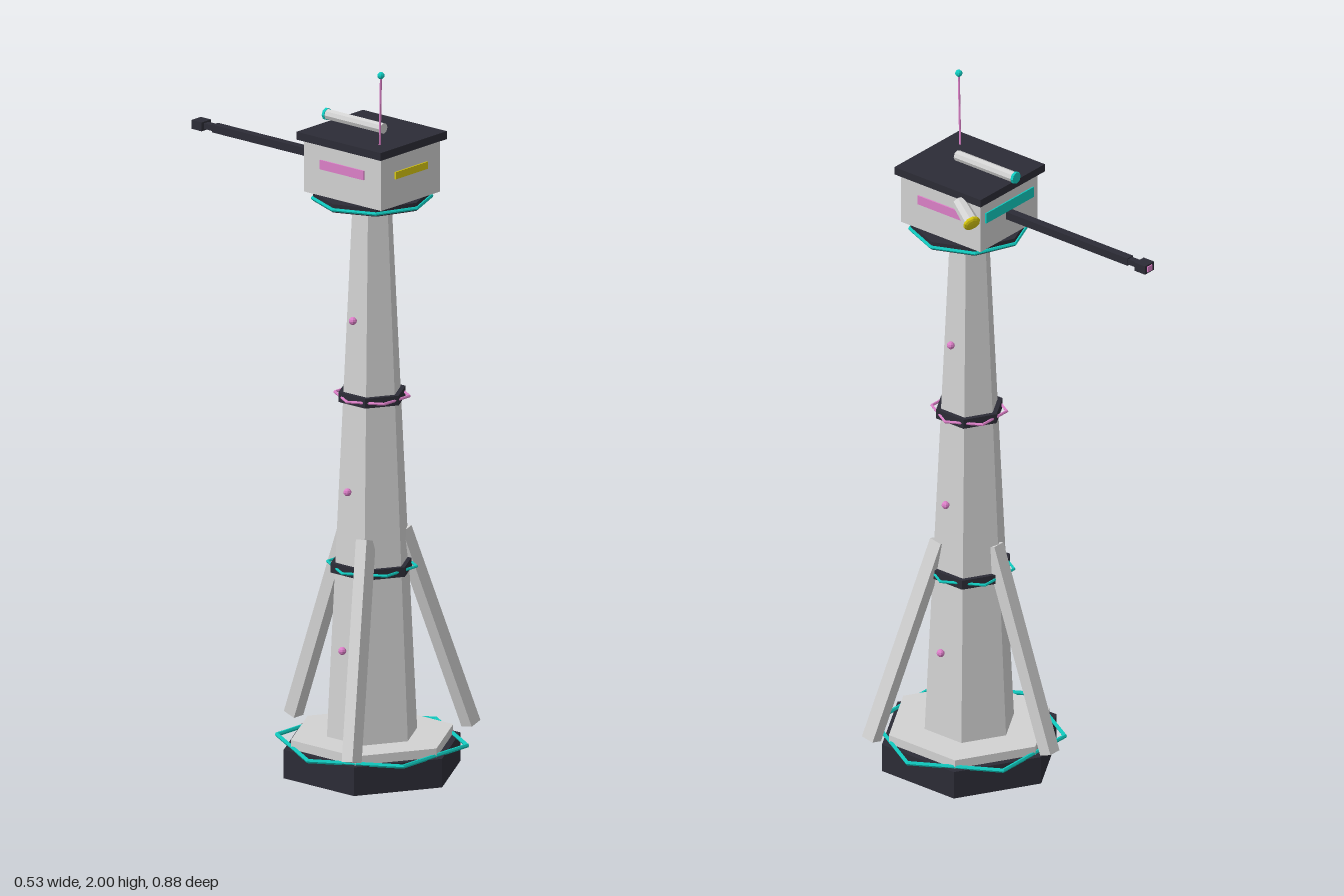
import * as THREE from 'three';

const mat = (name, color) => {
  const m = new THREE.MeshStandardMaterial({ color, flatShading: true });
  m.name = name;
  return m;
};

export function createModel() {
  const light = mat('light grey', 0xd2d2d2);
  const dark = mat('charcoal', 0x2c2c36);
  const cyan = mat('cyan', 0x10cabf);
  const pink = mat('pink', 0xdc80c8);
  const yellow = mat('yellow', 0xd8c810);

  const model = new THREE.Group();
  model.name = 'watchtower';
  // the tower axis sits forward of the centre, balancing the boom behind
  const tower = new THREE.Group();
  tower.name = 'tower';
  tower.position.z = 0.19;
  model.add(tower);

  const add = (name, geo, material, x = 0, y = 0, z = 0) => {
    const mesh = new THREE.Mesh(geo, material);
    mesh.name = name;
    mesh.position.set(x, y, z);
    tower.add(mesh);
    return mesh;
  };
  const box = (name, m, w, h, d, x, y, z) => add(name, new THREE.BoxGeometry(w, h, d), m, x, y, z);
  const prism = (name, m, rTop, rBottom, y0, y1, sides) =>
    add(name, new THREE.CylinderGeometry(rTop, rBottom, y1 - y0, sides), m, 0, (y0 + y1) / 2, 0);
  const ring = (name, m, r, tube, y, sides) =>
    add(name, new THREE.TorusGeometry(r, tube, 6, sides).rotateX(Math.PI / 2), m, 0, y, 0);
  // places a mesh whose length runs along y between two points
  const between = (name, m, a, b, makeGeo) => {
    const dir = b.clone().sub(a);
    const mesh = add(name, makeGeo(dir.length()), m);
    mesh.position.copy(a).addScaledVector(dir, 0.5);
    mesh.quaternion.setFromUnitVectors(new THREE.Vector3(0, 1, 0), dir.normalize());
    return mesh;
  };
  const v = (x, y, z) => new THREE.Vector3(x, y, z);

  // base and shaft
  prism('base', dark, 0.25, 0.25, 0, 0.08, 6);
  prism('plinth', light, 0.23, 0.23, 0.08, 0.105, 6);
  ring('baseRing', cyan, 0.26, 0.006, 0.083, 6);
  prism('shaft', light, 0.055, 0.128, 0.1, 1.6, 6);

  // bands around the shaft
  for (const [y, r, ringR, m] of [[0.577, 0.117, 0.122, cyan], [1.053, 0.095, 0.102, pink]]) {
    prism('band', dark, r, r, y - 0.0135, y + 0.0135, 6);
    ring('bandRing', m, ringR, 0.004, y, 6);
  }

  // three braces leaning on the shaft corners
  for (const angle of [Math.PI / 3, -Math.PI / 3, Math.PI]) {
    const s = Math.sin(angle), c = Math.cos(angle);
    between('brace', light, v(s * 0.28, 0.103, c * 0.28), v(s * 0.085, 0.668, c * 0.085),
      (len) => new THREE.BoxGeometry(0.038, len, 0.038));
  }

  // marker lights up both sides
  for (const side of [-1, 1]) {
    for (const [x, y] of [[0.121, 0.36], [0.1, 0.8], [0.078, 1.275]]) {
      add('markerLight', new THREE.SphereGeometry(0.011, 8, 6), pink, side * x, y, 0);
    }
  }

  // platform, cab and roof
  prism('platform', dark, 0.158, 0.158, 1.597, 1.62, 8);
  ring('platformRing', cyan, 0.16, 0.005, 1.605, 8);
  box('cab', light, 0.24, 0.15, 0.276, 0, 1.695, 0);
  box('roof', dark, 0.27, 0.022, 0.3, 0, 1.777, -0.001);

  // glowing window strips
  box('frontWindow', yellow, 0.13, 0.02, 0.006, 0, 1.707, 0.139);
  box('backWindow', cyan, 0.2, 0.03, 0.006, 0, 1.715, -0.139);
  for (const side of [-1, 1]) {
    box('sideWindow', pink, 0.006, 0.026, 0.156, side * 0.121, 1.708, 0);
  }

  // boom reaching backwards
  box('boom', dark, 0.023, 0.022, 0.43, 0, 1.687, -0.345);
  box('boomNeck', dark, 0.018, 0.016, 0.05, 0, 1.687, -0.575);
  box('boomHead', dark, 0.038, 0.025, 0.036, 0, 1.687, -0.609);
  box('boomLight', pink, 0.02, 0.016, 0.004, 0, 1.687, -0.628);

  // roof tube with lit rear end
  add('roofTube', new THREE.CylinderGeometry(0.015, 0.015, 0.2, 8).rotateX(Math.PI / 2), light, 0, 1.805, -0.058);
  add('roofTubeEnd', new THREE.CylinderGeometry(0.017, 0.017, 0.008, 8).rotateX(Math.PI / 2), cyan, 0, 1.805, -0.161);

  // antenna
  const tip = v(-0.096, 1.99, 0.116);
  between('antenna', pink, v(-0.078, 1.78, 0.096), tip, (len) => new THREE.CylinderGeometry(0.003, 0.003, len, 6));
  add('antennaTip', new THREE.SphereGeometry(0.01, 8, 6), cyan, tip.x, tip.y, tip.z);

  // searchlight on the rear corner
  const lampEnd = v(0.163, 1.727, -0.143);
  const lamp = between('searchlight', light, v(0.135, 1.758, -0.076), lampEnd,
    (len) => new THREE.CylinderGeometry(0.022, 0.02, len, 8));
  const lens = add('searchlightLens', new THREE.SphereGeometry(0.025, 10, 8).scale(1, 0.4, 1), yellow,
    lampEnd.x, lampEnd.y, lampEnd.z);
  lens.quaternion.copy(lamp.quaternion);

  return model;
}
